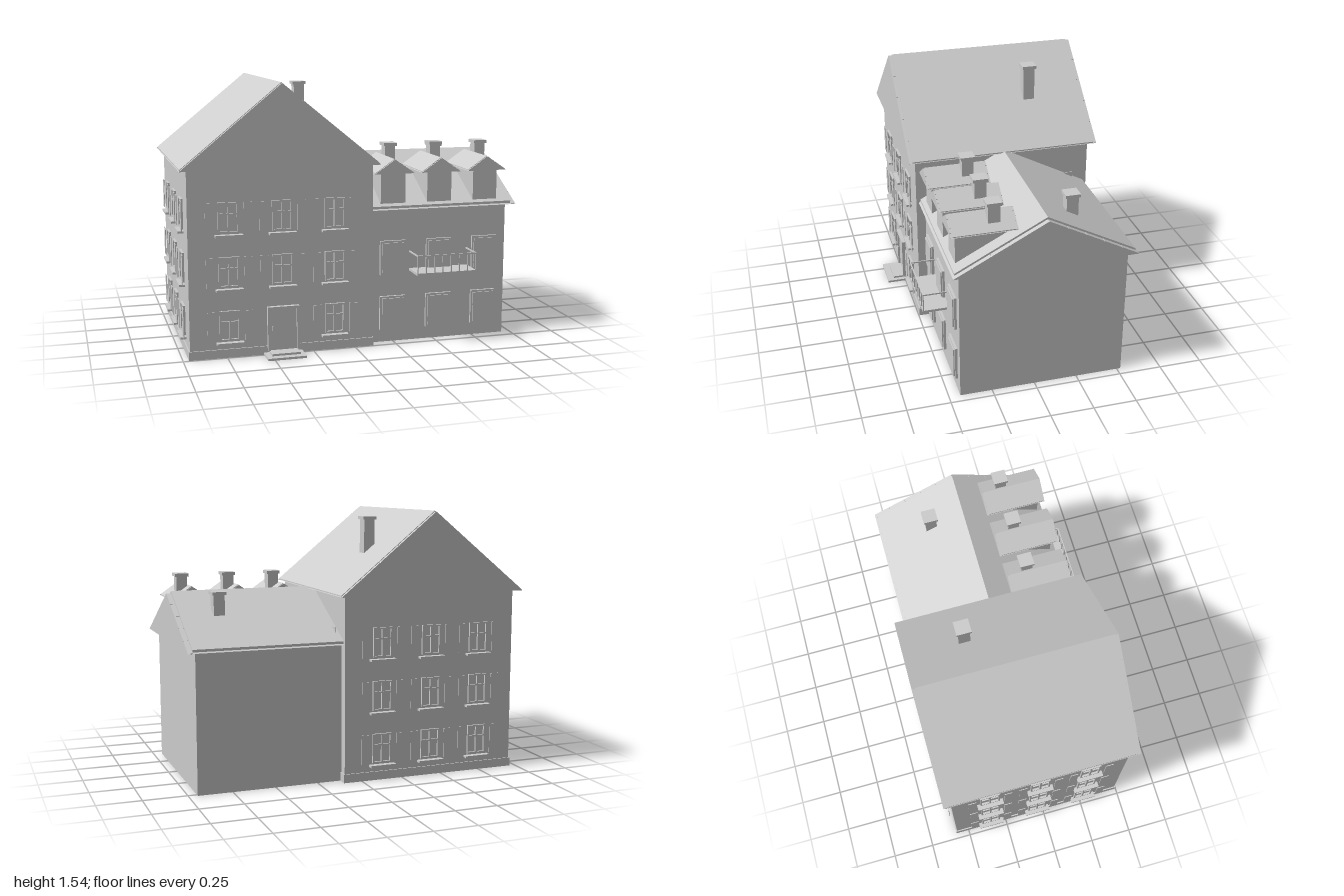
import * as THREE from 'three';

const plaster = new THREE.MeshStandardMaterial({ color: 0xcccccc });
plaster.name = 'pale grey';

// Box given by its min and max corners
function box(parent, name, x0, x1, y0, y1, z0, z1) {
  const m = new THREE.Mesh(new THREE.BoxGeometry(x1 - x0, y1 - y0, z1 - z0), plaster);
  m.position.set((x0 + x1) / 2, (y0 + y1) / 2, (z0 + z1) / 2);
  m.name = name;
  parent.add(m);
  return m;
}

function group(parent, name) {
  const g = new THREE.Group();
  g.name = name;
  parent.add(g);
  return g;
}

// Prism with a polygon section in x/y, running along z
function prism(parent, name, pts, z0, z1) {
  const shape = new THREE.Shape(pts.map(p => new THREE.Vector2(p[0], p[1])));
  const geo = new THREE.ExtrudeGeometry(shape, { depth: z1 - z0, bevelEnabled: false });
  geo.translate(0, 0, z0);
  const m = new THREE.Mesh(geo, plaster);
  m.name = name;
  parent.add(m);
}

// Gable roof along z, centred on x = 0, base at y = 0: body, raised field, verge tiles
function gableRoof(parent, name, half, rise, z0, z1, opt) {
  const g = group(parent, name);
  const { verge, lift, inset, ends } = opt;
  prism(g, 'roofBody', [[-half, 0], [half, 0], [0, rise]], z0, z1);
  const w = half - inset, e = rise * inset / half + lift;
  const f0 = ends.includes(-1) ? z0 + verge : z0, f1 = ends.includes(1) ? z1 - verge : z1;
  prism(g, 'roofField', [[-w, 0.001], [w, 0.001], [w, e], [0, rise + lift], [-w, e]], f0, f1);
  const n = 5, len = Math.hypot(half, rise) / n, slope = Math.atan2(rise, half);
  for (const end of ends) for (const side of [-1, 1]) for (let i = 0; i < n; i++) {
    const t = (i + 0.5) / n;
    const tile = box(g, 'vergeTile', -len / 2 + 0.002, len / 2 - 0.002, -0.002, 0.002, -verge / 2, verge / 2);
    tile.position.set(side * half * (1 - t), rise * t, end > 0 ? z1 - verge / 2 : z0 + verge / 2);
    tile.rotation.z = -side * slope;
  }
  return g;
}

function chimney(parent, x, z, y0, y1) {
  const g = group(parent, 'chimney');
  box(g, 'chimneyStack', x - 0.032, x + 0.032, y0, y1 - 0.018, z - 0.034, z + 0.034);
  box(g, 'chimneyCap', x - 0.041, x + 0.041, y1 - 0.018, y1, z - 0.043, z + 0.043);
}

// Shuttered window, facing +z with the wall at z = 0 and its sill at y = 0
function shutteredWindow(parent) {
  const g = group(parent, 'shutteredWindow');
  const w = 0.058, y0 = 0.02, y1 = 0.192, d = 0.012, b = 0.009;
  for (const s of [-1, 1]) {
    box(g, 'windowJamb', s * (w - b / 2) - b / 2, s * (w - b / 2) + b / 2, y0, y1, 0, d);
    box(g, 'shutter', s * 0.107 - 0.024, s * 0.107 + 0.024, y0, y1, 0.017, 0.021);
  }
  box(g, 'windowHead', -w + b, w - b, y1 - b, y1, 0, d);
  box(g, 'windowFoot', -w + b, w - b, y0, y0 + b, 0, d);
  box(g, 'mullion', -0.005, 0.005, y0 + b, y1 - b, 0, d);
  box(g, 'transom', -w + b, w - b, 0.122, 0.131, 0, d - 0.002);
  box(g, 'sill', -0.078, 0.078, 0, 0.012, 0, 0.034);
  return g;
}

function createModel() {
  const house = new THREE.Group();
  house.name = 'house';

  // Main block
  const cx = -0.428, cz = -0.043;
  const main = group(house, 'mainBlock');
  box(main, 'mainWalls', -0.96, 0.105, 0, 1.072, -0.575, 0.488);
  box(main, 'plinth', -0.967, 0.111, 0, 0.05, -0.582, 0.495);
  const mainRoof = gableRoof(main, 'mainRoof', 0.57, 0.465, -0.62, 0.527,
    { verge: 0.02, lift: 0.007, inset: 0.003, ends: [-1, 1] });
  mainRoof.position.set(-0.43, 1.07, 0);
  chimney(main, -0.153, -0.27, 1.25, 1.503);

  // Shuttered windows on all four walls; the door takes one place in front
  const walls = [
    { angle: 0, dist: 0.531 }, { angle: Math.PI, dist: 0.532 },
    { angle: Math.PI / 2, dist: 0.533 }, { angle: -Math.PI / 2, dist: 0.532 },
  ];
  walls.forEach(({ angle, dist }, k) => {
    const face = group(main, 'windowWall');
    face.position.set(cx, 0, cz);
    face.rotation.y = angle;
    for (let row = 0; row < 3; row++) for (let col = -1; col <= 1; col++) {
      if (k === 0 && row === 0 && col === 0) continue;
      shutteredWindow(face).position.set(col * 0.305, 0.08 + row * 0.308, dist);
    }
  });

  // Front door and steps
  const door = group(house, 'frontDoor');
  box(door, 'doorPanel', -0.505, -0.35, 0.025, 0.265, 0.488, 0.5);
  box(door, 'doorJambLeft', -0.35, -0.336, 0.025, 0.28, 0.488, 0.513);
  box(door, 'doorJambRight', -0.519, -0.505, 0.025, 0.28, 0.488, 0.513);
  box(door, 'doorLintel', -0.505, -0.35, 0.265, 0.28, 0.488, 0.513);
  box(door, 'doorHandle', -0.495, -0.488, 0.14, 0.165, 0.5, 0.516);
  box(door, 'upperStep', -0.51, -0.345, 0.013, 0.025, 0.488, 0.575);
  box(door, 'lowerStep', -0.54, -0.318, 0, 0.013, 0.488, 0.615);

  // Side wing, roof ridge running along x
  const wing = group(house, 'wing');
  box(wing, 'wingWalls', 0.1, 0.95, 0, 0.798, -0.522, 0.435);
  const wingRoof = gableRoof(wing, 'wingRoof', 0.52, 0.272, 0.1, 1.0,
    { verge: 0.028, lift: 0.014, inset: 0.012, ends: [1] });
  wingRoof.rotation.y = Math.PI / 2;
  wingRoof.position.set(0, 0.796, -0.046);
  chimney(wing, 0.75, -0.25, 0.92, 1.092);

  // Wing windows and dormers
  [0.243, 0.528, 0.815].forEach(x => {
    for (const y of [0.075, 0.407]) {
      const w = group(wing, 'wingWindow');
      box(w, 'windowCasing', x - 0.078, x + 0.078, y, y + 0.202, 0.435, 0.449);
      box(w, 'windowPane', x - 0.066, x + 0.066, y + 0.012, y + 0.19, 0.449, 0.456);
    }
    const dormer = group(wing, 'dormer');
    box(dormer, 'dormerWalls', x - 0.075, x + 0.075, 0.8, 1.008, 0.1, 0.438);
    const roof = gableRoof(dormer, 'dormerRoof', 0.118, 0.08, 0.1, 0.468,
      { verge: 0.01, lift: 0.005, inset: 0.003, ends: [-1, 1] });
    roof.position.set(x, 1.005, 0);
    chimney(dormer, x + 0.04, 0.222, 1.03, 1.16);
  });

  // Balcony
  const balcony = group(house, 'balcony');
  const x0 = 0.347, x1 = 0.71, zf = 0.585, t = 0.006;
  box(balcony, 'balconyFloor', x0, x1, 0.422, 0.436, 0.435, zf);
  box(balcony, 'frontRail', x0, x1, 0.533, 0.541, zf - t, zf);
  for (const x of [x0, x1 - t]) box(balcony, 'sideRail', x, x + t, 0.533, 0.541, 0.435, zf - t);
  for (let i = 0; i < 8; i++) {
    const x = x0 + (x1 - x0 - t) * i / 7;
    box(balcony, 'baluster', x, x + t, 0.436, 0.533, zf - t, zf);
  }

  return house;
}

export { createModel };
